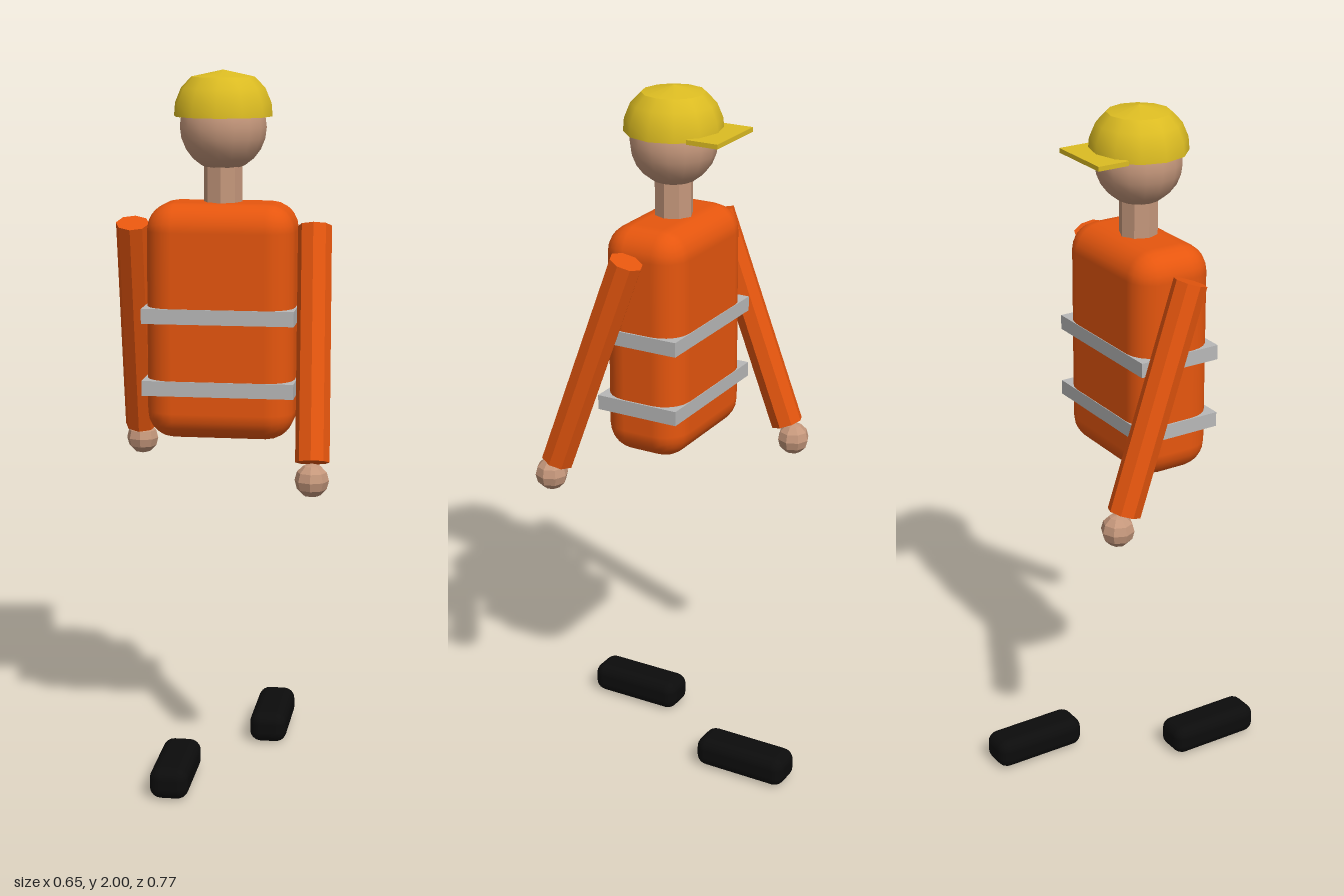
import * as THREE from 'three';
import { RoundedBoxGeometry } from 'three/addons/geometries/RoundedBoxGeometry.js';

const BODY_Z = 0.055; // the body sits slightly forward of the feet's midpoint

function material(name, color) {
  const m = new THREE.MeshStandardMaterial({ color });
  m.name = name;
  return m;
}

export function createModel() {
  const model = new THREE.Group();
  model.name = 'worker';

  const orange = material('orange workwear', 0xe6560e);
  const silver = material('reflective grey', 0xb8b8b8);
  const yellow = material('helmet yellow', 0xdcbc22);
  const skin = material('skin', 0xc6987c);
  const black = material('boot black', 0x0c0c0c);
  yellow.side = THREE.DoubleSide;

  const add = (name, geometry, mat, x, y, z) => {
    const mesh = new THREE.Mesh(geometry, mat);
    mesh.name = name;
    mesh.position.set(x, y, z);
    model.add(mesh);
    return mesh;
  };
  // Facets with their own normals, so smooth and faceted parts share a material
  const faceted = (geometry) => {
    const g = geometry.toNonIndexed();
    g.computeVertexNormals();
    return g;
  };

  // Torso with two reflective bands
  add('torso', new RoundedBoxGeometry(0.414, 0.66, 0.244, 3, 0.078), orange, 0, 1.31, BODY_Z);
  for (const [name, y] of [['upperBand', 1.332], ['lowerBand', 1.13]]) {
    add(name, new THREE.BoxGeometry(0.424, 0.042, 0.248), silver, 0, y, BODY_Z);
  }

  // Neck and head
  add('neck', faceted(new THREE.CylinderGeometry(0.054, 0.054, 0.16, 8)), skin, 0, 1.68, BODY_Z);
  add('head', new THREE.SphereGeometry(0.121, 16, 12), skin, 0, 1.845, BODY_Z);

  // Helmet: rounded shell, shallow crown and a flat peak
  const shell = [[0.137, 1.874], [0.134, 1.91], [0.117, 1.951], [0.088, 1.981]];
  const crown = [[0.088, 1.981], [0, 2]];
  const lathe = (profile) =>
    new THREE.LatheGeometry(profile.map(([r, y]) => new THREE.Vector2(r, y)), 12);
  add('helmetShell', lathe(shell), yellow, 0, 0, BODY_Z);
  add('helmetCrown', lathe(crown), yellow, 0, 0, BODY_Z);
  add('helmetPeak', new THREE.BoxGeometry(0.2, 0.013, 0.094), yellow, 0, 1.878, -0.087);

  // Arms swing in opposition: left forward, right back
  const up = new THREE.Vector3(0, 1, 0);
  for (const [side, s] of [['left', 1], ['right', -1]]) {
    const shoulder = new THREE.Vector3(s * 0.256, 1.576, BODY_Z);
    const wrist = new THREE.Vector3(s * 0.276, 0.957, BODY_Z + s * 0.222);
    const axis = shoulder.clone().sub(wrist);
    const middle = shoulder.clone().add(wrist).multiplyScalar(0.5);
    const arm = add(side + 'Arm', faceted(new THREE.CylinderGeometry(0.047, 0.047, axis.length(), 8)),
      orange, middle.x, middle.y, middle.z);
    arm.quaternion.setFromUnitVectors(up, axis.normalize());
    add(side + 'Hand', faceted(new THREE.SphereGeometry(0.047, 8, 6)), skin,
      s * 0.277, 0.912, BODY_Z + s * 0.243);

    // Boots stride opposite to the arms
    add(side + 'Boot', new RoundedBoxGeometry(0.11, 0.09, 0.285, 3, 0.033), black,
      s * 0.11, 0.045, -s * 0.243);
  }
  return model;
}
